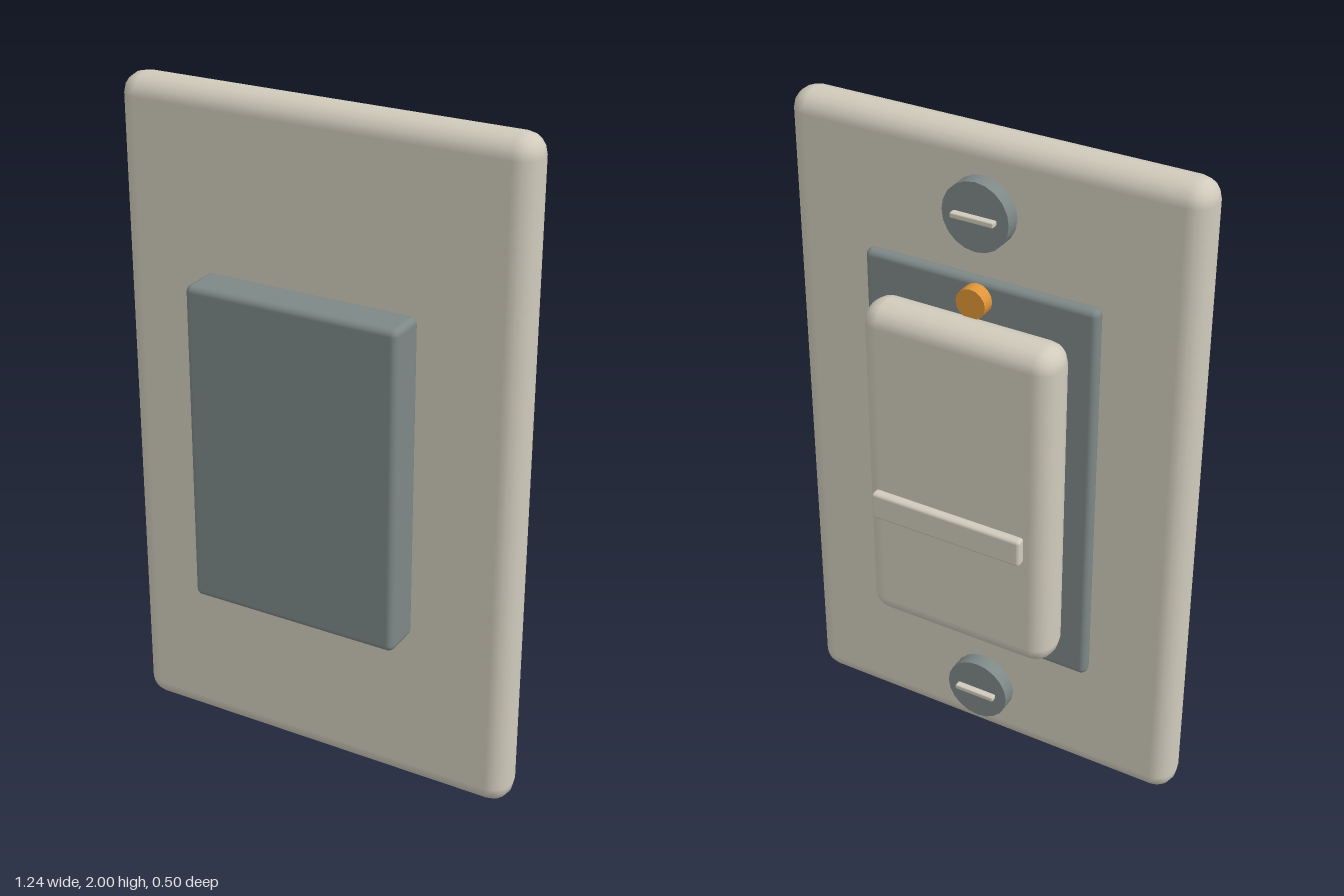
import * as THREE from 'three';
import { RoundedBoxGeometry } from 'three/addons/geometries/RoundedBoxGeometry.js';

const cream = new THREE.MeshStandardMaterial({ name: 'cream plastic', color: 0xd0cbbc });
const grey = new THREE.MeshStandardMaterial({ name: 'slate grey', color: 0x7d8887 });
const amber = new THREE.MeshStandardMaterial({ name: 'amber lamp', color: 0xdf9538 });

export function createModel() {
  const model = new THREE.Group();
  model.name = 'wallSwitch';

  // Rounded slab given by its full size and centre
  function slab(name, material, size, centre, radius, segments = 2) {
    const mesh = new THREE.Mesh(new RoundedBoxGeometry(...size, segments, radius), material);
    mesh.name = name;
    mesh.position.set(...centre);
    model.add(mesh);
  }

  // Disc lying flat against the plate, axis along z
  function disc(name, material, radius, depth, centre, sides) {
    const geometry = new THREE.CylinderGeometry(radius, radius, depth, sides);
    geometry.rotateX(-Math.PI / 2);
    const mesh = new THREE.Mesh(geometry, material);
    mesh.name = name;
    mesh.position.set(...centre);
    model.add(mesh);
  }

  // Wall plate and the housing block on its front
  slab('wallPlate', cream, [1.24, 2, 0.13], [0, 1, 0.045], 0.06);
  slab('housingBlock', grey, [0.65, 0.97, 0.127], [0, 1.005, 0.185], 0.02);

  // Switch frame, rocker and grip bar on the back
  slab('rockerFrame', grey, [0.71, 1.215, 0.042], [0, 1.003, -0.041], 0.018);
  slab('rocker', cream, [0.595, 1.035, 0.138], [0, 1.005, -0.131], 0.06);
  slab('gripBar', cream, [0.475, 0.085, 0.032], [0, 0.917, -0.237], 0.01);

  // Pilot lamp above the rocker
  disc('pilotLamp', amber, 0.045, 0.04, [0, 1.557, -0.081], 16);

  // Slotted screws at top and bottom
  for (const [side, y] of [['upper', 1.8], ['lower', 0.2]]) {
    disc(side + 'Screw', grey, 0.1, 0.046, [0, y, -0.051], 20);
    slab(side + 'ScrewSlot', cream, [0.13, 0.016, 0.022], [0, y, -0.084], 0.004, 1);
  }

  return model;
}
